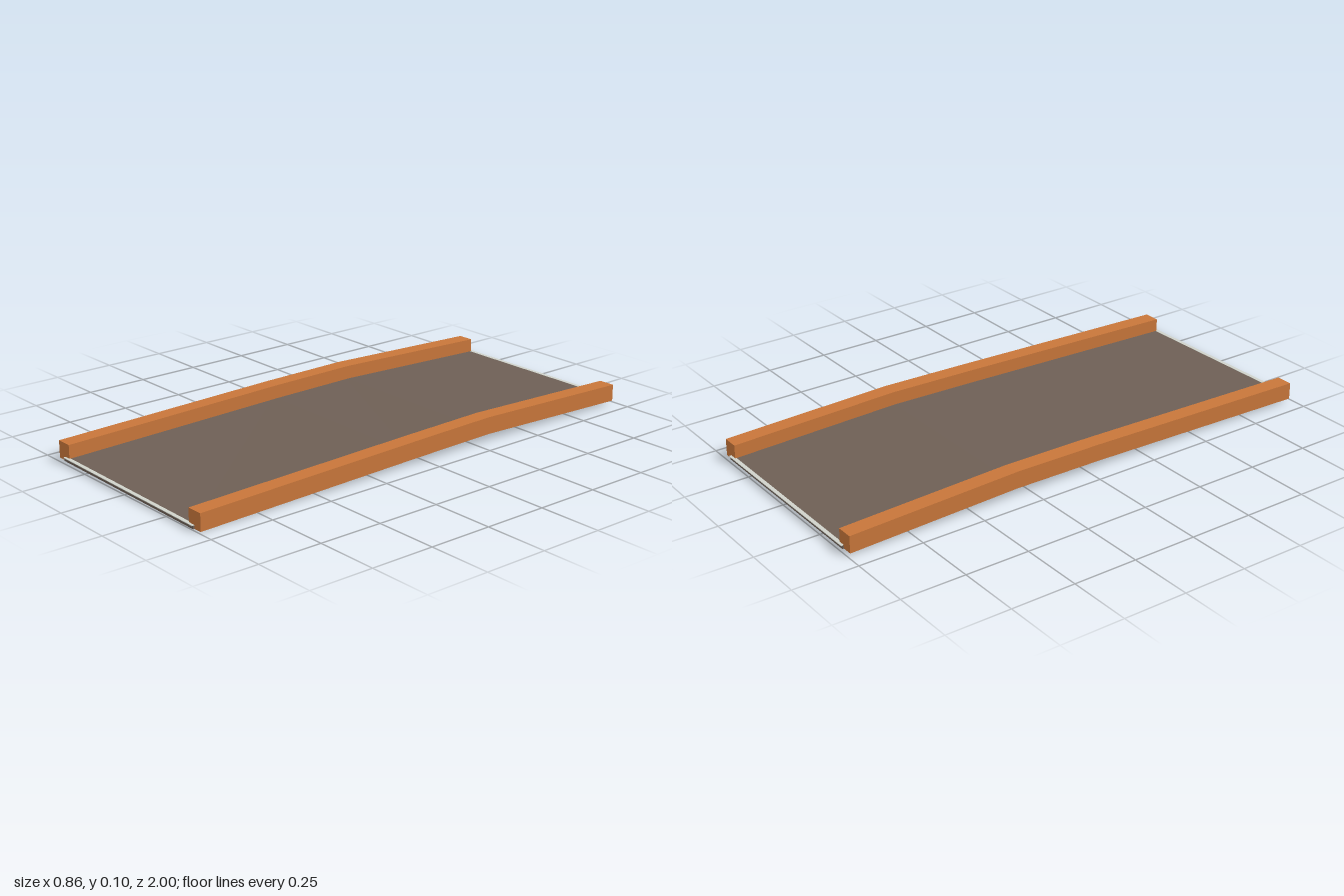
import * as THREE from 'three';

// Stations along the ramp: z, underside height at the -x edge, at the +x edge
const STATIONS = [
  [0.99, 0.012, 0.003],
  [0.05, 0.033, 0.026],
  [-0.31, 0.036, 0.033],
  [-0.99, 0.012, 0.012],
];
const EDGE = 0.43;

// Box-section beam following the stations between x0 and x1
function beam(name, x0, x1, lift, height, material, stations, twist = 1) {
  const positions = [];
  const quad = (a, b, c, d) => positions.push(...a, ...b, ...c, ...a, ...c, ...d);
  const yAt = ([, l, r], x) => THREE.MathUtils.lerp(l, r, (x + EDGE) / (2 * EDGE)) + lift;
  const rings = stations.map((s) => {
    const mid = (x0 + x1) / 2;
    const ya = yAt(s, mid + (x0 - mid) * twist);
    const yb = yAt(s, mid + (x1 - mid) * twist);
    return [
      [x0, ya, s[0]], [x1, yb, s[0]],
      [x1, yb + height, s[0]], [x0, ya + height, s[0]],
    ];
  });
  for (let i = 0; i < rings.length - 1; i++) {
    const a = rings[i], b = rings[i + 1];
    for (let k = 0; k < 4; k++) {
      const n = (k + 1) % 4;
      quad(a[k], b[k], b[n], a[n]);
    }
  }
  quad(...rings[0]);
  quad(...rings[rings.length - 1].slice().reverse());
  const geometry = new THREE.BufferGeometry();
  geometry.setAttribute('position', new THREE.Float32BufferAttribute(positions, 3));
  geometry.computeVertexNormals();
  const mesh = new THREE.Mesh(geometry, material);
  mesh.name = name;
  return mesh;
}

export function createModel() {
  const group = new THREE.Group();
  group.name = 'ramp';
  const mat = (name, color) => {
    const m = new THREE.MeshStandardMaterial({ color });
    m.name = name;
    return m;
  };
  const orange = mat('railOrange', 0xc8763a);
  const brown = mat('deckBrown', 0x6e5f55);
  const pale = mat('edgePale', 0xcfd2ca);

  // Deck reaches slightly beyond the rails at both ends
  const deckStations = STATIONS.map(([z, l, r]) => [Math.abs(z) > 0.9 ? Math.sign(z) * 0.995 : z, l, r]);
  group.add(beam('deck', -0.39, 0.395, -0.0005, 0.0135, brown, deckStations));

  // Side rails
  group.add(beam('rightRail', -0.43, -0.365, 0, 0.0655, orange, STATIONS, 0));
  group.add(beam('leftRail', 0.365, 0.43, 0, 0.0655, orange, STATIONS, 0));

  // Pale trim on the deck at each end
  for (const [name, s, end] of [['frontTrim', 1, STATIONS[0]], ['backTrim', -1, STATIONS[3]]]) {
    const zs = s > 0 ? [1.0, 0.985] : [-0.985, -1.0];
    group.add(beam(name, -0.39, 0.395, 0.0115, 0.0025, pale, zs.map((z) => [z, end[1], end[2]])));
  }
  return group;
}
